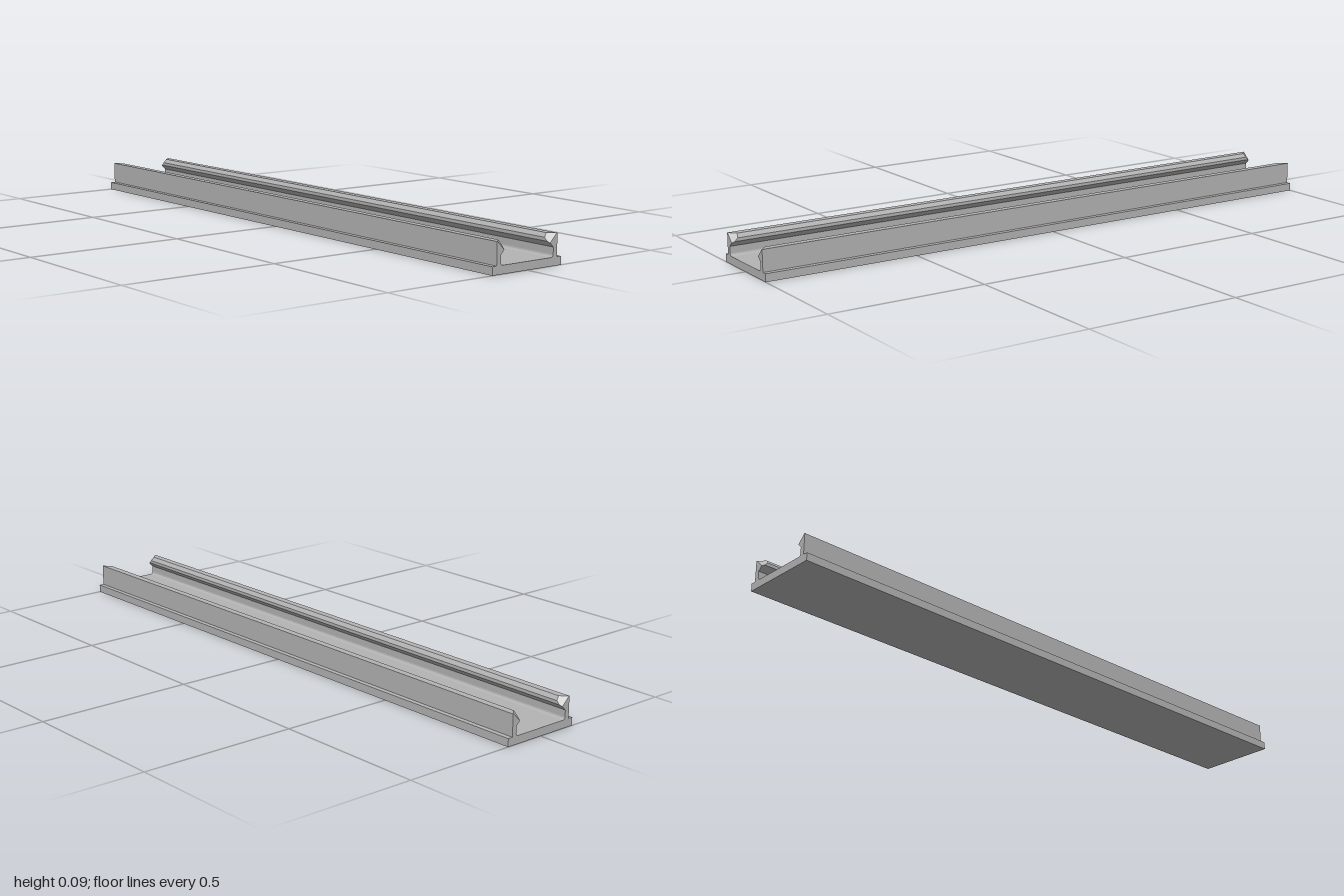
import * as THREE from 'three';

// wall cross-section as [z, y], counter-clockwise, with a hooked lip at the top
const full = [
  [0.115, 0.025], [0.115, 0.093], [0.092, 0.093], [0.083, 0.081], [0.083, 0.071],
  [0.1, 0.054], [0.1, 0.033], [0.099, 0.029], [0.096, 0.026], [0.092, 0.025],
];
// the same section at the rail ends, where the lip is cut off diagonally
const cut = { 2: [0.113, 0.093], 3: [0.1, 0.08], 4: [0.087, 0.067] };
const ends = full.map((p, i) => cut[i] || p);

function wallGeometry() {
  // the lip corners sit back from the end in proportion to how much is cut off
  const inset = full.map(([z, y], i) => (cut[i] ? 0.02 + y - z : 0));
  const ring = (pts, s, back) => pts.map(([z, y], i) => new THREE.Vector3(s * (1 - (back ? inset[i] : 0)), y, z));
  const rings = [ring(ends, 1), ring(full, 1, true), ring(full, -1, true), ring(ends, -1)];
  const pos = [];
  const tri = (a, b, c) => {
    if (new THREE.Triangle(a, b, c).getArea() > 1e-9) for (const v of [a, b, c]) pos.push(v.x, v.y, v.z);
  };
  // skin between neighbouring rings
  for (let r = 0; r < 3; r++) {
    const p = rings[r], q = rings[r + 1];
    for (let i = 0; i < full.length; i++) {
      const j = (i + 1) % full.length;
      tri(p[i], p[j], q[j]);
      tri(p[i], q[j], q[i]);
    }
  }
  // end caps
  const faces = THREE.ShapeUtils.triangulateShape(ends.map(([z, y]) => new THREE.Vector2(z, y)), []);
  for (const [a, b, c] of faces) {
    tri(rings[0][a], rings[0][c], rings[0][b]);
    tri(rings[3][a], rings[3][b], rings[3][c]);
  }
  const g = new THREE.BufferGeometry();
  g.setAttribute('position', new THREE.Float32BufferAttribute(pos, 3));
  g.computeVertexNormals();
  return g;
}

export function createModel() {
  const group = new THREE.Group();
  group.name = 'mountingRail';
  const grey = new THREE.MeshStandardMaterial({ color: 0xb4b4b4 });
  grey.name = 'grey';

  // flat base plate
  const base = new THREE.Mesh(new THREE.BoxGeometry(2, 0.025, 0.262), grey);
  base.name = 'basePlate';
  base.position.y = 0.0125;
  group.add(base);

  // two facing walls with clip lips
  const geo = wallGeometry();
  ['frontWall', 'backWall'].forEach((name, i) => {
    const wall = new THREE.Mesh(geo, grey);
    wall.name = name;
    wall.rotation.y = i * Math.PI;
    group.add(wall);
  });
  return group;
}
